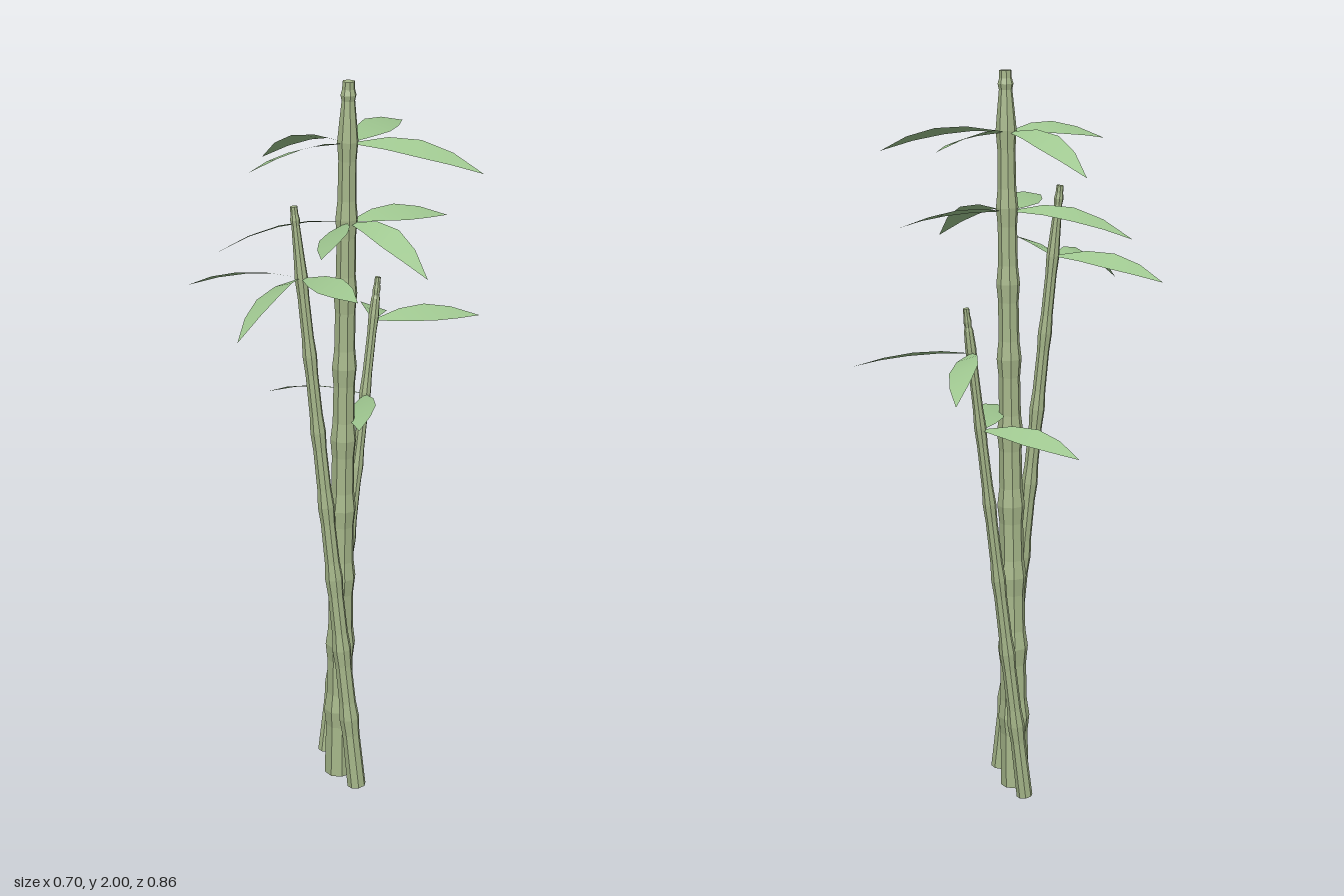
import * as THREE from 'three';

const V = (x, y, z) => new THREE.Vector3(x, y, z);
const stalkMaterial = new THREE.MeshStandardMaterial({ color: 0xa6b78a, flatShading: true });
const leafMaterial = new THREE.MeshStandardMaterial({ color: 0x9fc790, side: THREE.DoubleSide });

// Each stalk: foot, top, radii, number of segments, and leaf whorls (height + leaf tips)
const STALKS = [
  {
    name: 'tallStalk', foot: V(-0.01, 0, 0.033), top: V(0.025, 2, 0.035), r0: 0.04, r1: 0.023, segments: 9.76,
    whorls: [
      { y: 1.84, tips: [[-0.008, 1.825, -0.3], [0.352, 1.775, -0.088], [-0.276, 1.75, -0.02], [-0.106, 1.805, 0.303]] },
      { y: 1.63, tips: [[0.17, 1.605, -0.232], [0.287, 1.53, 0.082], [-0.257, 1.555, 0.223], [0.126, 1.625, 0.335]] },
    ],
  },
  {
    name: 'middleStalk', foot: V(0.084, 0.01, 0.09), top: V(-0.064, 1.69, 0.16), r0: 0.026, r1: 0.014, segments: 7.9,
    whorls: [
      { y: 1.5, tips: [[-0.353, 1.45, 0.226], [-0.066, 1.4, 0.426], [0.2, 1.51, 0.282]] },
    ],
  },
  {
    name: 'shortStalk', foot: V(-0.095, 0.01, -0.036), top: V(-0.022, 1.41, -0.198), r0: 0.022, r1: 0.012, segments: 6.5,
    whorls: [
      { y: 1.29, tips: [[-0.169, 1.215, -0.43], [0.174, 1.27, -0.422]] },
      { y: 1.08, tips: [[-0.337, 1.04, -0.13], [0.09, 1.08, 0.088]] },
    ],
  },
];

// Tapered eight-sided cane, swelling gently at every node, with a collar below the cut top
function makeStalk({ name, foot, top, r0, r1, segments }) {
  const axis = top.clone().sub(foot);
  const length = axis.length();
  const step = length / segments;
  const profile = [new THREE.Vector2(0, 0), new THREE.Vector2(r0, 0)];
  const ring = (y, scale) => profile.push(new THREE.Vector2((r0 + (r1 - r0) * (y / length)) * scale, y));
  for (let y = step; y < length - 0.08; y += step) {
    ring(y - 0.05, 0.98);
    ring(y, 1.15);
    ring(y + 0.05, 0.98);
  }
  ring(length - 0.05, 0.76);
  ring(length - 0.035, 0.9);
  ring(length - 0.02, 0.72);
  ring(length, 0.7);
  profile.push(new THREE.Vector2(0, length));
  const mesh = new THREE.Mesh(new THREE.LatheGeometry(profile, 8), stalkMaterial);
  mesh.name = name + 'Cane';
  mesh.position.copy(foot);
  mesh.quaternion.setFromUnitVectors(V(0, 1, 0), axis.normalize());
  return mesh;
}

// Lance-shaped leaf: an arching strip, rolled a little to one side
const HALF_WIDTHS = [0.005, 0.027, 0.037, 0.026, 0];
const ROLL = 0.35;
function makeLeaf(base, tip) {
  const middle = base.clone().lerp(tip, 0.5).setY(Math.max(base.y, tip.y) + 0.02);
  const curve = new THREE.QuadraticBezierCurve3(base, middle, tip);
  const side = V(0, 1, 0).cross(tip.clone().sub(base)).normalize().setY(ROLL);
  const rows = HALF_WIDTHS.length - 1;
  const positions = [], index = [];
  HALF_WIDTHS.forEach((w, i) => {
    for (const s of [-1, 0, 1]) {
      positions.push(...curve.getPoint(i / rows).addScaledVector(side, s * w).toArray());
    }
    if (i === rows) return;
    for (let j = 0; j < 2; j++) {
      const a = i * 3 + j;
      index.push(a, a + 3, a + 1, a + 1, a + 3, a + 4);
    }
  });
  const geometry = new THREE.BufferGeometry();
  geometry.setAttribute('position', new THREE.Float32BufferAttribute(positions, 3));
  geometry.setIndex(index);
  geometry.computeVertexNormals();
  const mesh = new THREE.Mesh(geometry, leafMaterial);
  mesh.name = 'leaf';
  return mesh;
}

export function createModel() {
  const model = new THREE.Group();
  model.name = 'bambooClump';
  for (const spec of STALKS) {
    const group = new THREE.Group();
    group.name = spec.name;
    group.add(makeStalk(spec));
    for (const { y, tips } of spec.whorls) {
      const centre = spec.foot.clone().lerp(spec.top, (y - spec.foot.y) / (spec.top.y - spec.foot.y));
      for (const t of tips) {
        const tip = V(...t);
        const outward = tip.clone().sub(centre).setY(0).normalize();
        group.add(makeLeaf(centre.clone().addScaledVector(outward, spec.r1 * 0.8), tip));
      }
    }
    model.add(group);
  }
  return model;
}
